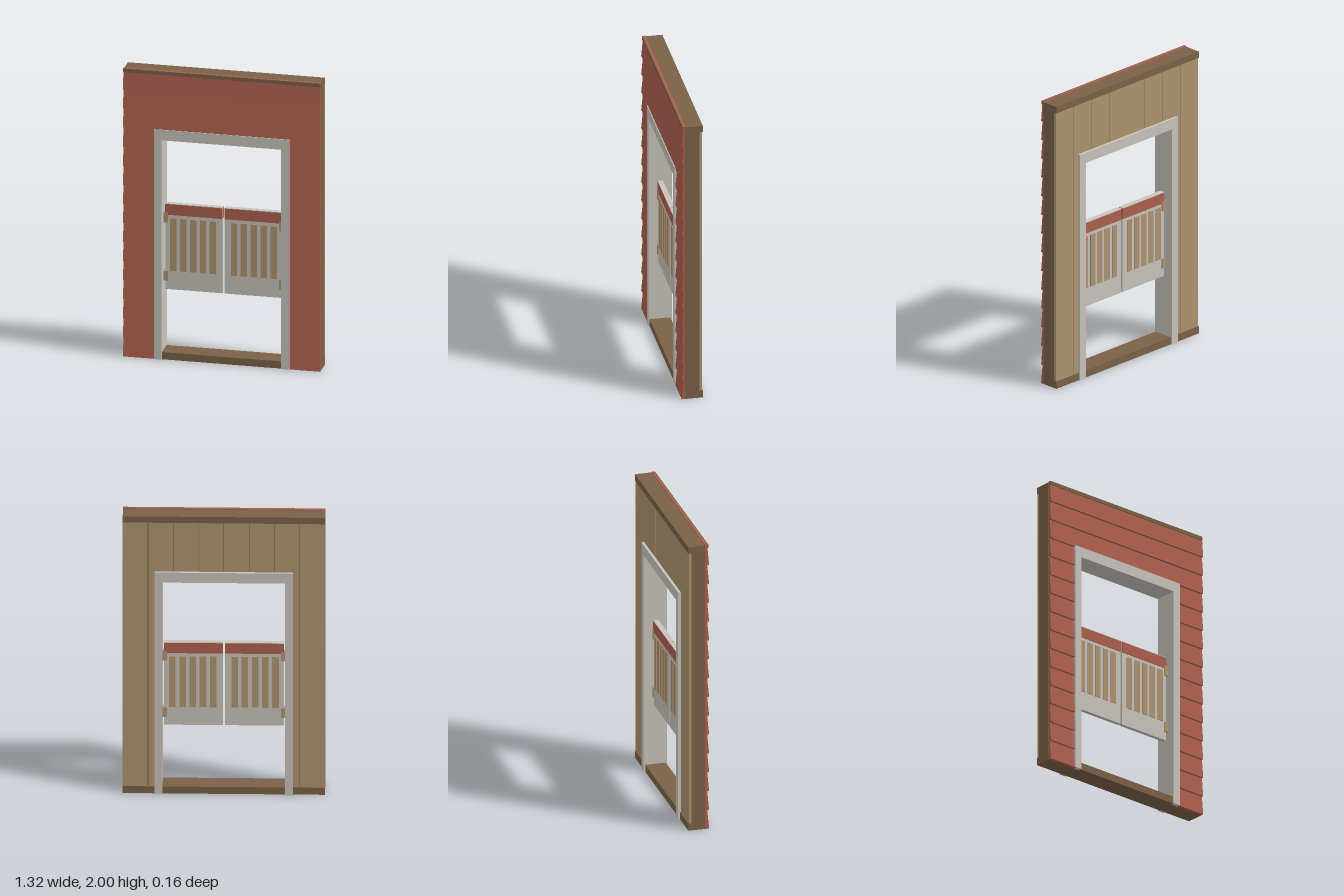
import * as THREE from 'three';

const mat = (name, color, side = THREE.FrontSide) => {
  const m = new THREE.MeshStandardMaterial({ color, side });
  m.name = name;
  return m;
};

export function createModel() {
  const red = mat('red paint', 0xad5f4e);
  const white = mat('weathered white', 0xc8c4bc);
  const tan = mat('light wood', 0xae936e);
  const brown = mat('dark wood', 0x7a6147);

  const model = new THREE.Group();
  model.name = 'doorwayWall';

  // Box given by its limits on each axis
  const box = (parent, name, m, x0, x1, y0, y1, z0, z1) => {
    const mesh = new THREE.Mesh(new THREE.BoxGeometry(x1 - x0, y1 - y0, z1 - z0), m);
    mesh.position.set((x0 + x1) / 2, (y0 + y1) / 2, (z0 + z1) / 2);
    mesh.name = name;
    parent.add(mesh);
    return mesh;
  };
  const group = (name) => {
    const g = new THREE.Group();
    g.name = name;
    model.add(g);
    return g;
  };

  const W = 0.66, H = 2;

  // Timber frame: plates, studs and header
  const frame = group('timberFrame');
  box(frame, 'bottomPlate', brown, -W, W, 0, 0.05, -0.068, 0.05);
  box(frame, 'topPlate', brown, -W, W, 1.95, 1.995, -0.068, 0.045);
  box(frame, 'header', brown, -0.45, 0.45, 1.575, 1.95, -0.046, 0.045);
  for (const s of [-1, 1]) {
    const a = s * 0.45, b = s * W;
    box(frame, 'stud', brown, Math.min(a, b), Math.max(a, b), 0.05, 1.95, -0.046, 0.045);
  }

  // Overlapping clapboards on the front: a tilted section run along x
  const siding = group('siding');
  const clapboard = (x0, x1, y0, y1) => {
    const section = new THREE.Shape([
      new THREE.Vector2(-0.046, y0), new THREE.Vector2(-0.046, y1),
      new THREE.Vector2(-0.06, y1), new THREE.Vector2(-0.073, y0),
    ]);
    const g = new THREE.ExtrudeGeometry(section, { depth: x1 - x0, bevelEnabled: false });
    g.rotateY(Math.PI / 2);
    const mesh = new THREE.Mesh(g, red);
    mesh.position.x = x0;
    mesh.name = 'clapboard';
    siding.add(mesh);
  };
  const pitch = 0.1325;
  for (let i = 0; i < 15; i++) {
    const y0 = i * pitch, y1 = i === 14 ? H : y0 + pitch;
    if (i < 12) {
      clapboard(-W, -0.44, y0, y1);
      clapboard(0.44, W, y0, y1);
    } else clapboard(-W, W, y0, y1);
  }
  box(siding, 'topStrip', brown, -W, W, 1.975, H, 0.06, 0.068);

  // Dark shadow gaps where boards overlap
  for (let i = 1; i < 15; i++) {
    const y = i * pitch;
    const spans = i < 12 ? [[-W, -0.455], [0.455, W]] : [[-W, W]];
    for (const [a, b] of spans) box(siding, 'boardGap', brown, a, b, y - 0.003, y, 0.058, 0.062);
  }

  // Vertical planks on the back, cut around the opening
  const planks = group('backPlanks');
  for (let i = 0; i < 8; i++) {
    const x0 = -W + i * 0.165 + (i ? 0.002 : 0), x1 = -W + (i + 1) * 0.165 - (i < 7 ? 0.002 : 0);
    box(planks, 'plankUpper', tan, x0, x1, 1.56, 1.95, -0.062, -0.046);
    const a = x0 < 0 ? x0 : Math.max(x0, 0.44), b = x0 < 0 ? Math.min(x1, -0.44) : x1;
    if (b > a) box(planks, 'plankLower', tan, a, b, 0.05, 1.56, -0.062, -0.046);
  }

  // Door surround: flat casing on both faces, jamb lining between
  const surround = group('doorSurround');
  const casing = (name, z0, depth) => {
    const outline = new THREE.Shape([
      [-0.453, 0], [-0.4, 0], [-0.4, 1.525], [0.4, 1.525],
      [0.4, 0], [0.453, 0], [0.453, 1.597], [-0.453, 1.597],
    ].map(([x, y]) => new THREE.Vector2(x, y)));
    const mesh = new THREE.Mesh(new THREE.ExtrudeGeometry(outline, { depth, bevelEnabled: false }), white);
    mesh.position.z = z0;
    mesh.name = name;
    surround.add(mesh);
  };
  casing('frontCasing', 0.05, 0.028);
  casing('backCasing', -0.08, 0.018);
  box(surround, 'leftJamb', white, 0.4, 0.45, 0.05, 1.575, -0.062, 0.05);
  box(surround, 'rightJamb', white, -0.45, -0.4, 0.05, 1.575, -0.062, 0.05);
  box(surround, 'headJamb', white, -0.4, 0.4, 1.525, 1.575, -0.062, 0.05);
  box(surround, 'sillNose', brown, -0.4, 0.4, 0, 0.05, 0.05, 0.07);

  // Pair of swing doors with slats, painted top band and hinges
  for (const s of [-1, 1]) {
    const door = group(s > 0 ? 'leftDoor' : 'rightDoor');
    const part = (name, m, a, b, y0, y1, z) =>
      box(door, name, m, Math.min(s * a, s * b), Math.max(s * a, s * b), y0, y1, -z, z);
    part('panel', white, 0.006, 0.39, 0.47, 1.064, 0.013);
    part('topBand', red, 0.006, 0.391, 0.988, 1.062, 0.018);
    part('topCap', white, 0.006, 0.391, 1.062, 1.066, 0.018);
    for (let i = 0; i < 5; i++) {
      const x = 0.049 + i * 0.0665;
      part('slat', tan, x, x + 0.043, 0.6, 0.965, 0.018);
    }
    for (const y of [0.53, 0.935]) part('hinge', tan, 0.371, 0.402, y, y + 0.068, 0.021);
  }

  return model;
}
